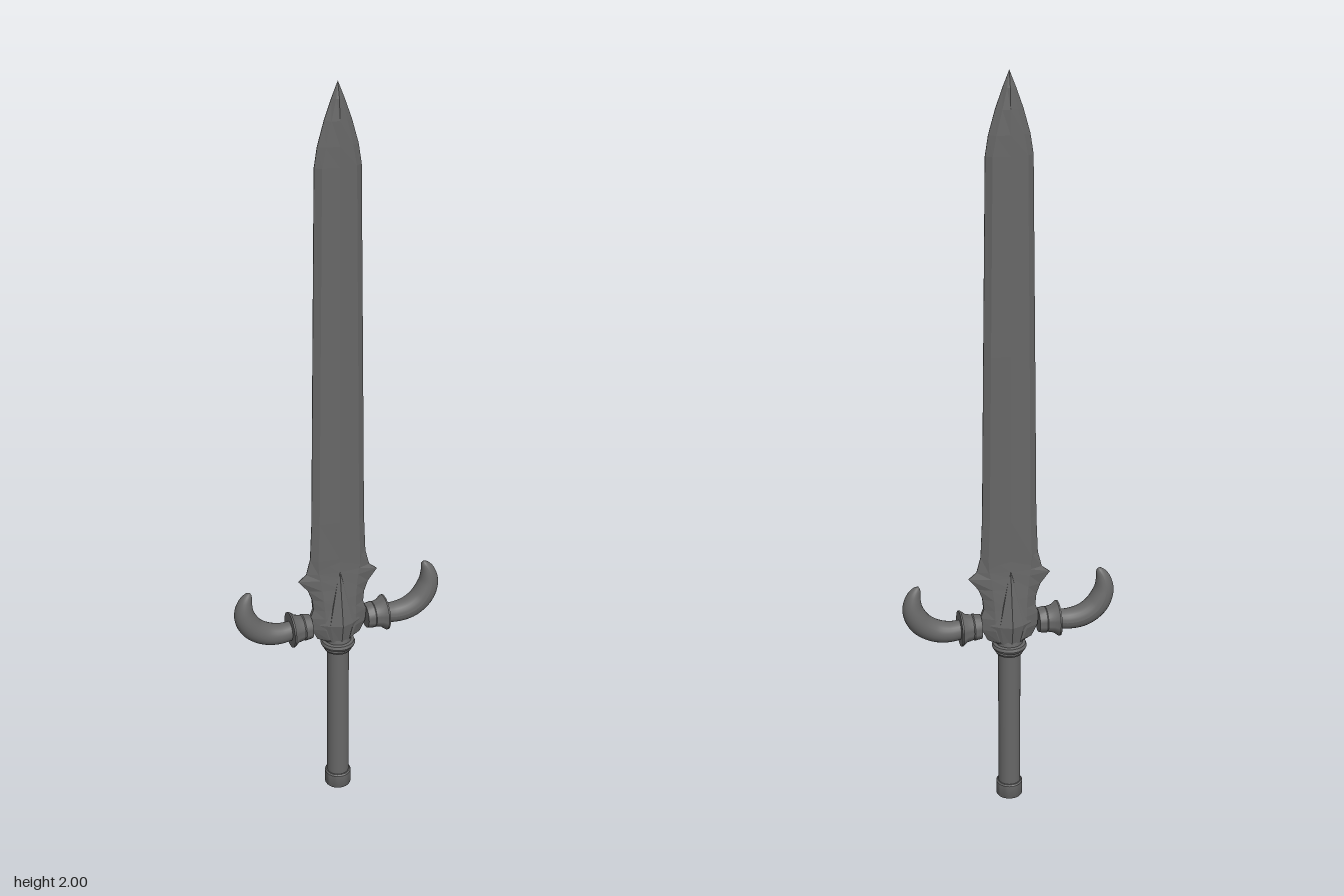
import * as THREE from 'three';
import { toCreasedNormals } from 'three/addons/utils/BufferGeometryUtils.js';

const smooth = new THREE.MeshStandardMaterial({ color: 0x676767 });
const faceted = new THREE.MeshStandardMaterial({ color: 0x676767, flatShading: true });

function add(parent, name, geometry, material = smooth) {
  const mesh = new THREE.Mesh(geometry, material);
  mesh.name = name;
  parent.add(mesh);
}

function lathe(profile, segments = 32) {
  const points = profile.map(([r, y]) => new THREE.Vector2(r, y));
  return toCreasedNormals(new THREE.LatheGeometry(points, segments), 0.6);
}

// Stacks ten-sided sections; row: y, half width, facet x, facet z, ridge z, edge z
function loft(rows) {
  const positions = [], index = [], n = 10;
  for (const [y, w, fx, fz, rz, ez] of rows) {
    const ring = [[w, ez], [fx, fz], [0, rz], [-fx, fz], [-w, ez],
      [-w, -ez], [-fx, -fz], [0, -rz], [fx, -fz], [w, -ez]];
    for (const [x, z] of ring) positions.push(x, y, z);
  }
  for (let r = 0; r < rows.length - 1; r++) {
    for (let i = 0; i < n; i++) {
      const a = r * n + i, b = r * n + (i + 1) % n;
      index.push(a, a + n, b + n, a, b + n, b);
    }
  }
  // Flat caps at both ends
  const top = (rows.length - 1) * n;
  for (let i = 1; i < n - 1; i++) {
    index.push(0, i, i + 1, top, top + i + 1, top + i);
  }
  const geometry = new THREE.BufferGeometry();
  geometry.setAttribute('position', new THREE.Float32BufferAttribute(positions, 3));
  geometry.setIndex(index);
  const flat = geometry.toNonIndexed();
  flat.computeVertexNormals();
  return flat;
}

// Tapered horn: a tube whose rings are scaled about the centre line
function hornGeometry() {
  const curve = new THREE.CatmullRomCurve3([
    [0.125, 0.537, 0], [0.165, 0.533, 0], [0.205, 0.542, 0.002],
    [0.24, 0.568, 0.001], [0.259, 0.608, 0], [0.257, 0.645, 0], [0.243, 0.677, 0],
  ].map(p => new THREE.Vector3(...p)));
  const steps = 40, sides = 24;
  const geometry = new THREE.TubeGeometry(curve, steps, 1, sides);
  const position = geometry.attributes.position;
  const p = new THREE.Vector3();
  for (let i = 0; i <= steps; i++) {
    const t = i / steps;
    const centre = curve.getPointAt(t);
    const swell = 0.025 + 0.006 * Math.sin(Math.PI * Math.min(1, t / 0.95));
    const taper = t < 0.55 ? 1 : Math.sqrt(Math.max(0, 1 - ((t - 0.55) / 0.45) ** 2));
    for (let j = 0; j <= sides; j++) {
      const k = i * (sides + 1) + j;
      p.fromBufferAttribute(position, k).sub(centre).multiplyScalar(swell * taper).add(centre);
      position.setXYZ(k, p.x, p.y, p.z);
    }
  }
  geometry.computeVertexNormals();
  return geometry;
}

export function createModel() {
  const model = new THREE.Group();
  model.name = 'sword';

  // Grip with pommel and the ring below the guard
  add(model, 'pommel', lathe([[0, 0], [0.035, 0], [0.036, 0.002], [0.036, 0.04], [0.033, 0.044], [0, 0.044]]));
  add(model, 'grip', new THREE.CylinderGeometry(0.03, 0.03, 0.43, 32).translate(0, 0.25, 0));
  add(model, 'gripRing', lathe([[0, 0.452], [0.036, 0.452], [0.039, 0.458], [0.038, 0.463], [0.044, 0.466],
    [0.047, 0.473], [0.044, 0.481], [0.036, 0.483], [0.033, 0.5], [0, 0.5]]));

  // Blade with a centre ridge and bevelled edges
  add(model, 'blade', loft([
    [0.58, 0.07, 0.053, 0.013, 0.017, 0.001],
    [0.74, 0.077, 0.058, 0.013, 0.017, 0.001],
    [0.85, 0.072, 0.054, 0.013, 0.017, 0.001],
    [1.3, 0.066, 0.049, 0.013, 0.017, 0.001],
    [1.8, 0.059, 0.043, 0.013, 0.017, 0.001],
    [1.85, 0.051, 0.034, 0.013, 0.017, 0.001],
    [1.91, 0.034, 0.019, 0.012, 0.016, 0.001],
    [1.96, 0.016, 0.007, 0.009, 0.012, 0.001],
    [2.0, 0, 0, 0, 0, 0],
  ]), faceted);

  // Thin guard plate around the blade root, with side spikes
  add(model, 'guardPlate', loft([
    [0.485, 0.034, 0.022, 0.022, 0.026, 0.008],
    [0.497, 0.06, 0.032, 0.024, 0.028, 0.006],
    [0.53, 0.076, 0.042, 0.025, 0.03, 0.006],
    [0.565, 0.079, 0.043, 0.024, 0.029, 0.005],
    [0.59, 0.07, 0.043, 0.022, 0.027, 0.005],
    [0.62, 0.073, 0.045, 0.02, 0.025, 0.004],
    [0.65, 0.084, 0.048, 0.017, 0.022, 0.003],
    [0.682, 0.11, 0.052, 0.015, 0.019, 0.001],
    [0.7, 0.088, 0.055, 0.0135, 0.018, 0.001],
    [0.745, 0.0765, 0.058, 0.012, 0.0165, 0.001],
  ]), faceted);

  // Faceted diamond boss rising to a point on both faces
  add(model, 'guardBoss', loft([
    [0.482, 0.032, 0.02, 0.027, 0.033, 0.012],
    [0.545, 0.056, 0.032, 0.033, 0.045, 0.018],
    [0.7, 0.004, 0.002, 0.0165, 0.0185, 0.008],
  ]), faceted);

  // Flared collar and upswept horn on each side
  for (const [name, turn] of [['left', 0], ['right', Math.PI]]) {
    const arm = new THREE.Group();
    arm.name = name + 'Arm';
    arm.rotation.y = turn;
    model.add(arm);
    const collar = lathe([[0, 0.078], [0.033, 0.078], [0.036, 0.098], [0.034, 0.101], [0.038, 0.118],
      [0.048, 0.131], [0.048, 0.135], [0.024, 0.135], [0, 0.135]]);
    add(arm, name + 'Collar', collar.rotateZ(-Math.PI / 2).translate(0, 0.538, 0));
    add(arm, name + 'Horn', hornGeometry());
  }
  return model;
}
